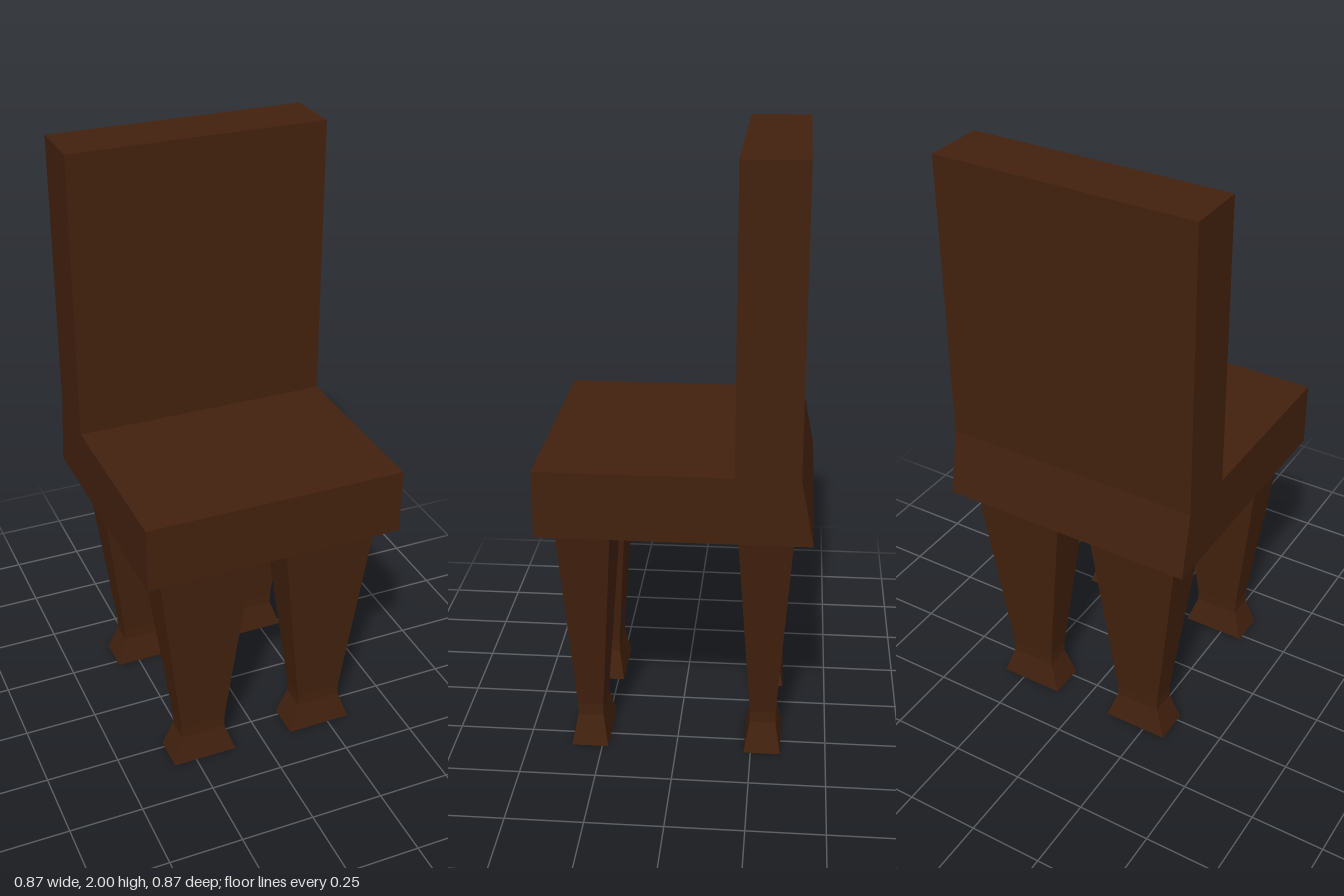
import * as THREE from 'three';

const wood = new THREE.MeshStandardMaterial({ color: 0x42210e });
wood.name = 'darkWood';

// Leg rings from floor to seat: [y, half width, half depth]
const RINGS = [
  [0, 0.112, 0.061],
  [0.1, 0.078, 0.043],
  [0.14, 0.078, 0.043],
  [0.82, 0.161, 0.088],
];

// Box with stacked height segments, each ring resized to the leg outline
function legGeometry() {
  const segments = RINGS.length - 1;
  const box = new THREE.BoxGeometry(2, segments, 2, 1, segments, 1);
  const pos = box.attributes.position;
  for (let i = 0; i < pos.count; i++) {
    const [y, w, d] = RINGS[Math.round(pos.getY(i) + segments / 2)];
    pos.setXYZ(i, pos.getX(i) * w, y, pos.getZ(i) * d);
  }
  const geo = box.toNonIndexed();
  geo.computeVertexNormals();
  return geo;
}

// Side outline of seat and back as (z, y), extruded across the width
function seatAndBackGeometry() {
  const outline = [
    [0.435, 0.82], [0.435, 1.04], [-0.19, 1.04], [-0.19, 2],
    [-0.393, 2], [-0.393, 1.04], [-0.435, 0.82],
  ];
  const shape = new THREE.Shape(outline.map(([z, y]) => new THREE.Vector2(z, y)));
  const geo = new THREE.ExtrudeGeometry(shape, { depth: 0.87, bevelEnabled: false });
  geo.translate(0, 0, -0.435);
  geo.rotateY(-Math.PI / 2);
  return geo;
}

export function createModel() {
  const chair = new THREE.Group();
  chair.name = 'chair';

  const body = new THREE.Mesh(seatAndBackGeometry(), wood);
  body.name = 'seatAndBack';
  chair.add(body);

  // Four tapered legs with flared feet
  const leg = legGeometry();
  for (const [side, x] of [['Left', 0.217], ['Right', -0.217]]) {
    for (const [end, z] of [['front', 0.291], ['back', -0.288]]) {
      const mesh = new THREE.Mesh(leg, wood);
      mesh.name = `${end}${side}Leg`;
      mesh.position.set(x, 0, z);
      chair.add(mesh);
    }
  }
  return chair;
}
